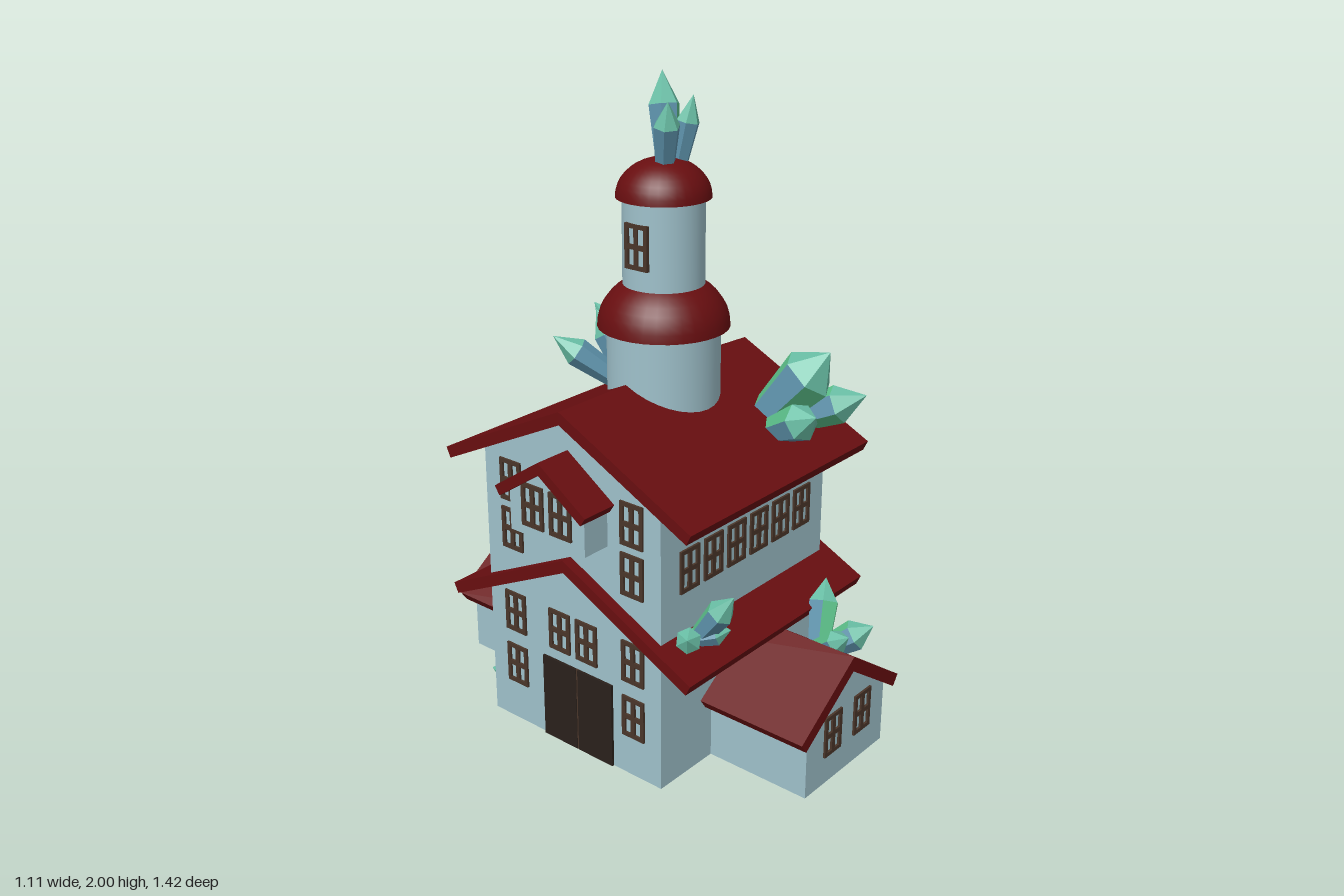
import * as THREE from 'three';

const mat = (name, color, side = THREE.FrontSide) => {
  const m = new THREE.MeshStandardMaterial({ color, side });
  m.name = name;
  return m;
};

export function createModel() {
  const wall = mat('pale blue wall', 0x9fc1cb);
  const red = mat('dark red roof', 0x680e10);
  const brown = mat('brown window frame', 0x4a3529);
  const dark = mat('dark door wood', 0x2a201b);
  const green = mat('green crystal', 0x5cc08a);
  const teal = mat('teal crystal', 0x68bda4);
  const blue = mat('blue crystal', 0x5e93ac);

  const model = new THREE.Group();
  const add = (name, geometry, material, parent = model) => {
    const mesh = new THREE.Mesh(geometry, material);
    mesh.name = name;
    parent.add(mesh);
    return mesh;
  };

  // Extrude a profile along z, or along x when alongX is set; from a to b, centred at c across
  const prism = (name, pts, material, alongX, a, b, c) => {
    const shape = new THREE.Shape(pts.map(p => new THREE.Vector2(p[0], p[1])));
    const g = new THREE.ExtrudeGeometry(shape, { depth: b - a, bevelEnabled: false });
    if (alongX) g.rotateY(Math.PI / 2).translate(a, 0, c);
    else g.translate(c, 0, a);
    return add(name, g, material);
  };
  // Five-sided wall block with a pointed top
  const gable = (name, half, bottom, shoulder, peak, ...rest) =>
    prism(name, [[-half, bottom], [half, bottom], [half, shoulder], [0, peak], [-half, shoulder]], wall, ...rest);
  // Folded roof slab, cut square to the slope at the eaves
  const roof = (name, half, eave, peak, t, ...rest) => {
    const s = (peak - eave) / half, len = Math.hypot(1, s);
    const dx = t * s / len, dy = t / len;
    prism(name, [[-half, eave], [-half + dx, eave - dy], [0, peak - t * len],
      [half - dx, eave - dy], [half, eave], [0, peak]], red, ...rest);
  };

  // Main house with upper roof and skirt roof
  gable('mainHouse', 0.347, 0, 0.92, 1.09, true, -0.435, 0.355, -0.007);
  roof('upperRoof', 0.482, 0.885, 1.12, 0.036, true, -0.47, 0.395, -0.007);
  roof('skirtRoof', 0.482, 0.418, 0.653, 0.036, true, -0.47, 0.395, -0.007);

  // Front and back wings share one ridge
  gable('wings', 0.203, 0, 0.225, 0.36, false, -0.692, 0.692, 0.003);
  roof('wingRoof', 0.255, 0.214, 0.39, 0.04, false, -0.71, 0.71, 0.003);

  // Dormers, the one on the right-hand wall hanging higher
  for (const [side, y] of [[1, 0.49], [-1, 0.735]]) {
    const span = (tip, inner) => side > 0 ? [inner, tip] : [-tip, -inner];
    gable('dormer', 0.147, y, y + 0.145, y + 0.235, true, ...span(0.53, 0.3), -0.006);
    roof('dormerRoof', 0.178, y + 0.138, y + 0.258, 0.032, true, ...span(0.557, 0.3), -0.009);
  }

  // Window frame with four openings
  const w = 0.0425, h = 0.0675, bar = 0.0075;
  const rect = (T, x0, y0, x1, y1) => {
    const p = new T();
    p.moveTo(x0, y0); p.lineTo(x1, y0); p.lineTo(x1, y1); p.lineTo(x0, y1); p.closePath();
    return p;
  };
  const frameShape = rect(THREE.Shape, -w, -h, w, h);
  for (const sx of [-1, 1]) for (const sy of [-1, 1]) {
    const xs = [sx * bar, sx * (w - 0.013)].sort((a, b) => a - b);
    const ys = [sy * bar, sy * (h - 0.013)].sort((a, b) => a - b);
    frameShape.holes.push(rect(THREE.Path, xs[0], ys[0], xs[1], ys[1]));
  }
  const frame = new THREE.ExtrudeGeometry(frameShape, { depth: 0.008, bevelEnabled: false });
  const win = (x, y, z, turn) => {
    const m = add('window', frame, brown);
    m.position.set(x, y, z);
    m.rotation.y = turn * Math.PI / 2;
    return m;
  };
  const six = [0, 1, 2, 3, 4, 5].map(i => (i - 2.5) * 0.1095);
  const four = six.slice(1, 5);
  const two = six.slice(2, 4);

  // Front and back rows
  six.forEach(x => {
    win(x - 0.037, 0.682, 0.339, 0);
    win(x - 0.037, 0.615, -0.353, 2);
    win(x - 0.037, 0.77, -0.353, 2);
  });
  for (const x of [-0.07, 0.084]) {
    win(x, 0.162, 0.691, 0);
    win(x, 0.162, -0.691, 2);
  }
  // Left wall rows
  six.forEach(z => win(0.354, 0.222, z - 0.004, 1));
  four.forEach(z => { win(0.354, 0.383, z - 0.004, 1); win(0.354, 0.832, z - 0.004, 1); });
  two.forEach(z => {
    win(0.529, 0.59, z - 0.004, 1);
    win(-0.529, 0.835, z - 0.004, 3);
    win(-0.434, 0.385, z - 0.004, 3);
  });
  // Right wall windows beside the door and dormer
  for (const z of [-0.245, 0.235]) for (const y of [0.2, 0.385, 0.67, 0.83]) win(-0.434, y, z, 3);

  // Double door on the right wall
  for (const z of [-0.06, 0.084]) {
    add('doorLeaf', new THREE.BoxGeometry(0.009, 0.28, 0.138), dark).position.set(-0.4385, 0.14, z);
  }
  add('doorPost', new THREE.BoxGeometry(0.007, 0.28, 0.008), brown).position.set(-0.438, 0.14, 0.012);

  // Tower with two drums and two domes
  const tower = new THREE.Group();
  tower.name = 'tower';
  tower.position.set(-0.012, 0, -0.005);
  model.add(tower);
  for (const [r, y0, y1] of [[0.172, 0.95, 1.275], [0.123, 1.36, 1.665]]) {
    add('towerDrum', new THREE.CylinderGeometry(r, r, y1 - y0, 32), wall, tower).position.y = (y0 + y1) / 2;
  }
  for (const [r, y, rise] of [[0.2, 1.267, 0.165], [0.142, 1.655, 0.115]]) {
    const arc = [];
    for (let i = 0; i <= 10; i++) {
      const a = i / 10 * Math.PI / 2;
      arc.push(new THREE.Vector2(i === 10 ? 0 : r * Math.cos(a), rise * Math.sin(a)));
    }
    add('dome', new THREE.LatheGeometry(arc, 32), red, tower).position.y = y;
    const under = add('domeUnderside', new THREE.CircleGeometry(r, 32), red, tower);
    under.rotation.x = Math.PI / 2;
    under.position.y = y;
  }
  for (const s of [-1, 1]) win(-0.012 + s * 0.113, 1.527, -0.005, s).scale.z = 1.7;

  // Six-sided crystal from base to tip, its shaft partly green and partly blue
  const flat = g => { const f = g.toNonIndexed(); f.computeVertexNormals(); return f; };
  const up = new THREE.Vector3(0, 1, 0);
  const crystal = (base, tip, r, blueSides = 2) => {
    const a = new THREE.Vector3(...base), dir = new THREE.Vector3(...tip).sub(a);
    const len = dir.length(), shaftLen = len * 0.66;
    const g = new THREE.Group();
    g.name = 'crystal';
    g.position.copy(a);
    g.quaternion.setFromUnitVectors(up, dir.normalize());
    model.add(g);
    const shaft = flat(new THREE.CylinderGeometry(r, r * 0.7, shaftLen, 6, 1, true));
    shaft.clearGroups();
    for (let i = 0; i < 6; i++) shaft.addGroup(i * 6, 6, (i + 2) % 6 < blueSides ? 1 : 0);
    add('crystalShaft', shaft, [green, blue], g).position.y = shaftLen / 2;
    const point = flat(new THREE.ConeGeometry(r, len - shaftLen, 6, 1, true));
    add('crystalPoint', point, teal, g).position.y = (len + shaftLen) / 2;
    const foot = add('crystalFoot', new THREE.CircleGeometry(r * 0.7, 6), green, g);
    foot.rotation.set(Math.PI / 2, 0, Math.PI / 6);
  };

  // Tower top cluster
  crystal([0.025, 1.72, -0.02], [0.07, 2.0, -0.08], 0.048);
  crystal([-0.025, 1.73, 0.01], [-0.065, 1.94, 0.055], 0.04, 4);
  crystal([0.03, 1.72, 0.01], [0.055, 1.945, 0.05], 0.036, 3);
  // Front of the upper roof
  crystal([0.2, 0.97, 0.23], [0.265, 1.195, 0.41], 0.088, 1);
  crystal([0.26, 0.94, 0.26], [0.335, 1.06, 0.5], 0.06, 1);
  crystal([0.15, 0.95, 0.29], [0.105, 1.05, 0.475], 0.06, 4);
  // Back of the upper roof
  crystal([0.1, 1.04, -0.13], [0.152, 1.21, -0.44], 0.058, 1);
  crystal([-0.03, 1.05, -0.16], [-0.165, 1.2, -0.32], 0.045, 4);
  crystal([0.13, 1.03, -0.14], [0.225, 1.19, -0.265], 0.045, 2);
  crystal([0.02, 1.03, -0.17], [0.01, 1.25, -0.3], 0.045, 3);
  // Front skirt roof
  crystal([-0.305, 0.45, 0.36], [-0.3, 0.637, 0.495], 0.042, 2);
  crystal([-0.35, 0.48, 0.38], [-0.44, 0.54, 0.44], 0.038, 4);
  crystal([-0.33, 0.47, 0.36], [-0.265, 0.505, 0.46], 0.036, 3);
  // Beside the left dormer
  crystal([0.4, 0.55, -0.185], [0.51, 0.68, -0.265], 0.042, 4);
  // Front wing roof
  crystal([0.1, 0.3, 0.52], [0.21, 0.485, 0.465], 0.05, 1);
  crystal([0.12, 0.28, 0.51], [0.2, 0.385, 0.65], 0.048, 2);
  crystal([0.08, 0.31, 0.52], [0.055, 0.41, 0.655], 0.038, 4);
  // Back wing roof
  crystal([0.08, 0.29, -0.5], [0.07, 0.52, -0.705], 0.056, 4);
  crystal([0.16, 0.26, -0.47], [0.27, 0.42, -0.55], 0.048, 1);
  crystal([0.14, 0.27, -0.47], [0.2, 0.5, -0.58], 0.052, 2);
  // Foot of the back wall
  crystal([-0.3, 0.07, -0.34], [-0.31, 0.17, -0.43], 0.038, 2);
  crystal([-0.31, 0.06, -0.34], [-0.37, 0.08, -0.44], 0.036, 3);
  crystal([-0.29, 0.06, -0.34], [-0.24, 0.07, -0.44], 0.036, 1);

  return model;
}
